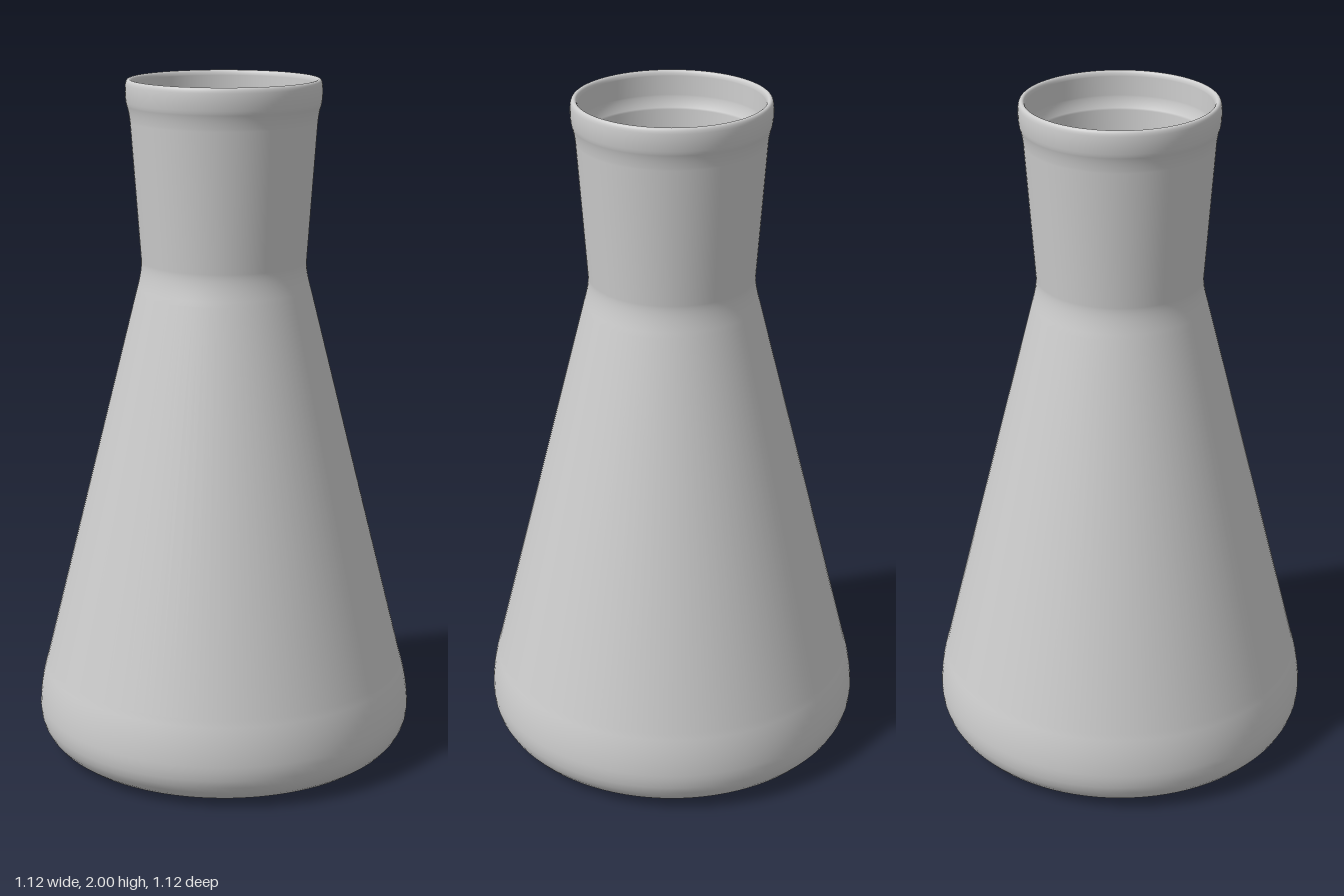
import * as THREE from 'three';

// Half cross-section of the glass, from base centre up the outside and down the inside
function wallProfile() {
  const p = new THREE.Path();
  // flat base and rounded heel
  p.moveTo(0, 0);
  p.lineTo(0.43, 0);
  p.bezierCurveTo(0.51, 0, 0.56, 0.05, 0.56, 0.12);
  p.quadraticCurveTo(0.56, 0.19, 0.535, 0.27);
  // cone, waist and flared neck
  p.lineTo(0.255, 1.39);
  p.quadraticCurveTo(0.238, 1.45, 0.24, 1.48);
  p.lineTo(0.268, 1.88);
  // thickened lip
  p.quadraticCurveTo(0.271, 1.91, 0.278, 1.93);
  p.quadraticCurveTo(0.283, 1.96, 0.28, 1.985);
  p.quadraticCurveTo(0.278, 2, 0.27, 2);
  p.quadraticCurveTo(0.262, 2, 0.26, 1.985);
  p.lineTo(0.258, 1.93);
  p.quadraticCurveTo(0.256, 1.91, 0.245, 1.89);
  // inner neck, cone and floor
  p.lineTo(0.212, 1.48);
  p.quadraticCurveTo(0.21, 1.45, 0.226, 1.39);
  p.lineTo(0.506, 0.27);
  p.quadraticCurveTo(0.53, 0.19, 0.53, 0.13);
  p.bezierCurveTo(0.53, 0.07, 0.49, 0.03, 0.43, 0.03);
  p.lineTo(0, 0.03);
  return p.getPoints(8);
}

export function createModel() {
  const group = new THREE.Group();
  group.name = 'conicalFlask';
  const material = new THREE.MeshStandardMaterial({ color: 0xcccccc });
  const flask = new THREE.Mesh(new THREE.LatheGeometry(wallProfile(), 96), material);
  flask.name = 'flaskWall';
  group.add(flask);
  return group;
}
